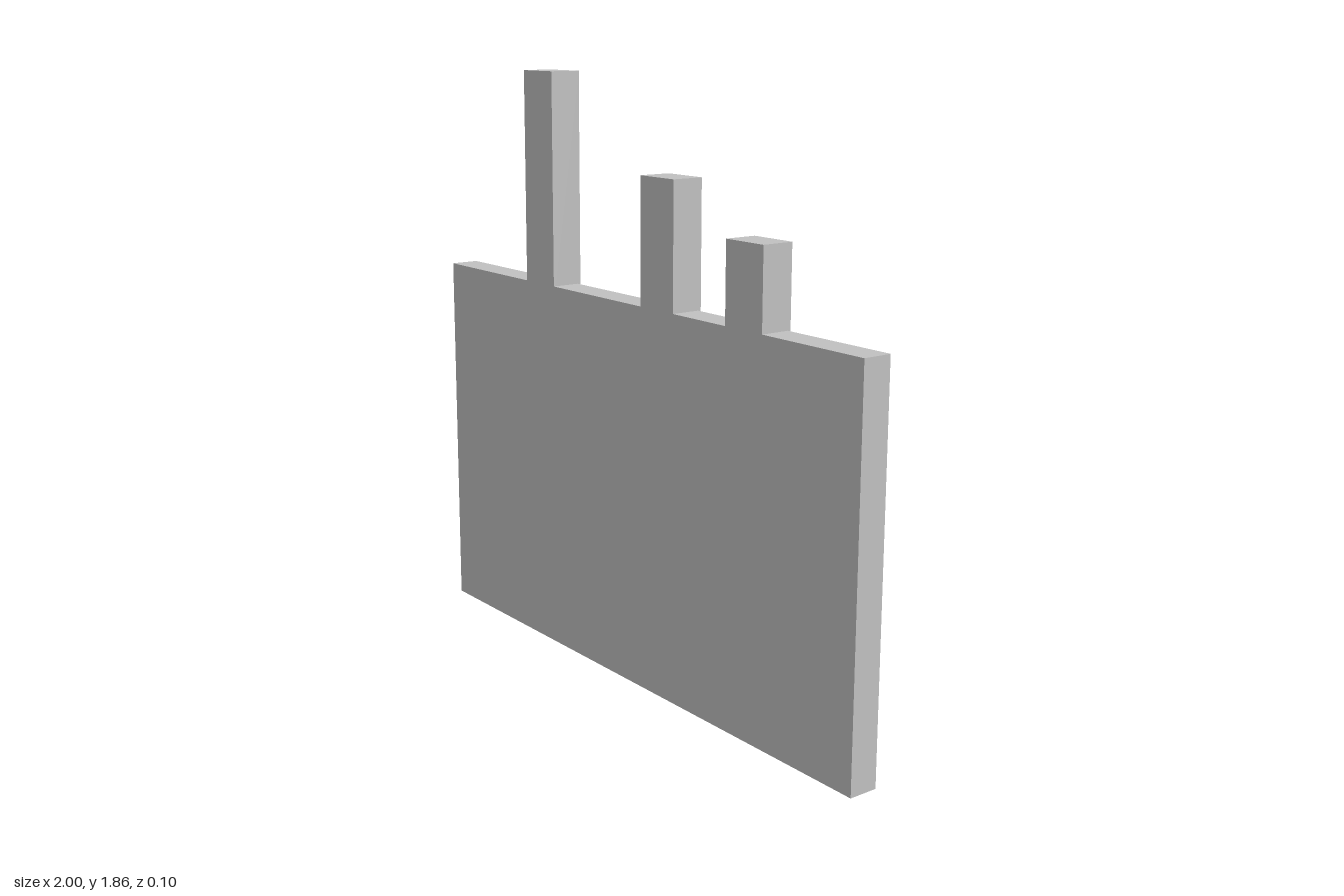
import * as THREE from 'three';

export function createModel() {
  const model = new THREE.Group();
  const gray = new THREE.MeshStandardMaterial({ color: 0xc0c0c0, side: THREE.DoubleSide });
  gray.name = 'lightGray';

  // Thin-walled panel, open at the back: a box without its last (-z) side
  const shell = new THREE.BoxGeometry(2, 1.19, 0.092);
  shell.setIndex(Array.from(shell.index.array).slice(0, 30));
  shell.clearGroups();
  const panel = new THREE.Mesh(shell, gray);
  panel.name = 'panel';
  panel.position.set(0, 0.595, 0.005);
  model.add(panel);

  // Square posts, flush with the front and reaching slightly below the top edge
  const bottom = 1.145;
  const posts = [
    ['tallPost', -0.457, 1.855],
    ['middlePost', 0.151, 1.573],
    ['shortPost', 0.537, 1.431],
  ];
  for (const [name, x, top] of posts) {
    const post = new THREE.Mesh(new THREE.BoxGeometry(0.154, top - bottom, 0.102), gray);
    post.name = name;
    post.position.set(x, (top + bottom) / 2, 0);
    model.add(post);
  }
  return model;
}
